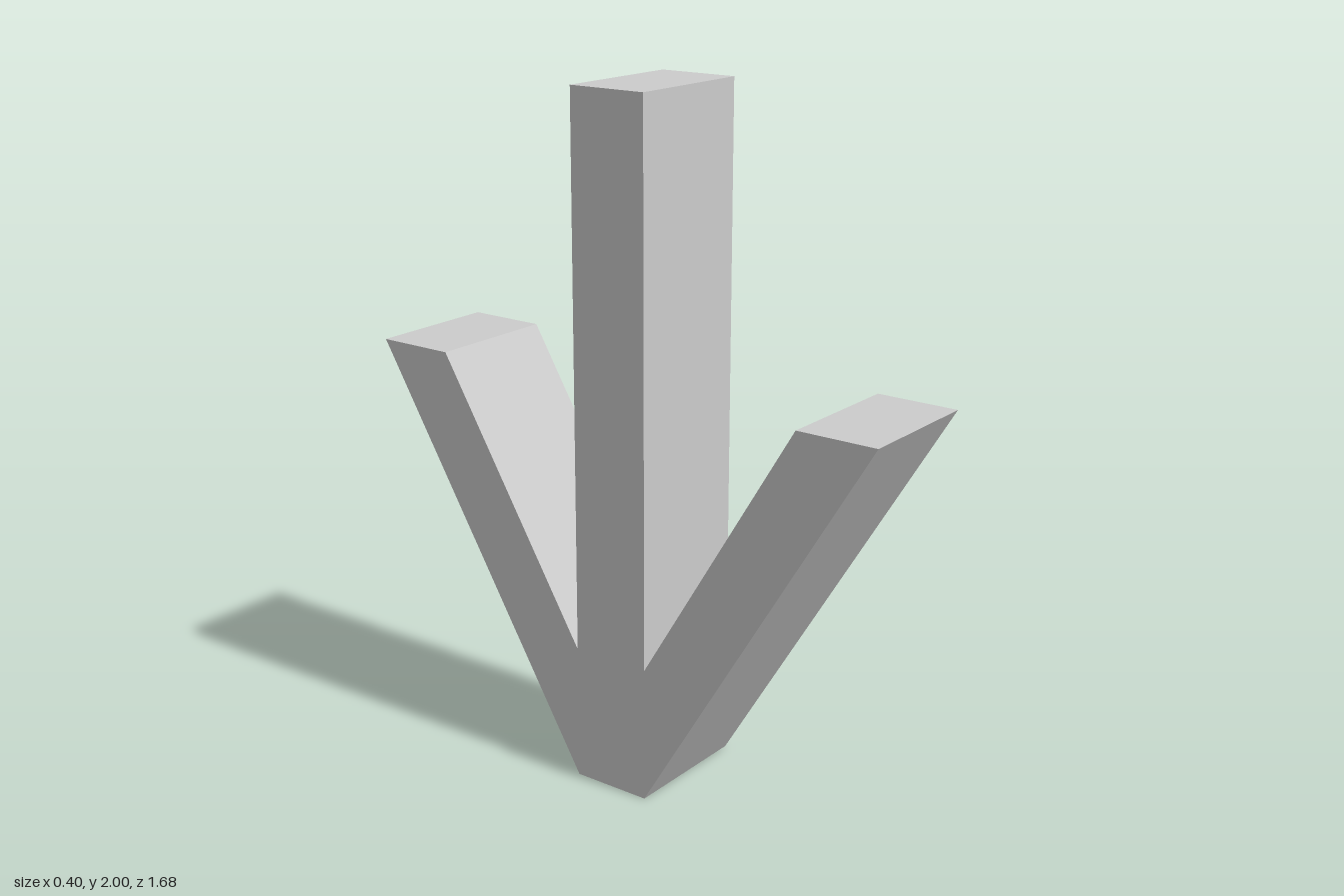
import * as THREE from 'three';

export function createModel() {
  const group = new THREE.Group();
  group.name = 'threeProngedFork';

  // One half of the side profile (depth, height), from the foot up to the post top
  const half = [[0.12, 0], [0.84, 1.2], [0.6, 1.2], [0.12, 0.4], [0.12, 2]];
  const mirrored = half.map(([z, y]) => [-z, y]).reverse();
  const outline = [...half, ...mirrored].map(([z, y]) => new THREE.Vector2(z, y));

  // Upright post with two slanted arms, extruded across the width
  const width = 0.4;
  const geometry = new THREE.ExtrudeGeometry(new THREE.Shape(outline), {
    depth: width,
    bevelEnabled: false,
  });
  geometry.translate(0, 0, -width / 2);
  geometry.rotateY(-Math.PI / 2);

  const material = new THREE.MeshStandardMaterial({ color: 0xcccccc, flatShading: true });
  const body = new THREE.Mesh(geometry, material);
  body.name = 'postWithArms';
  group.add(body);

  return group;
}
